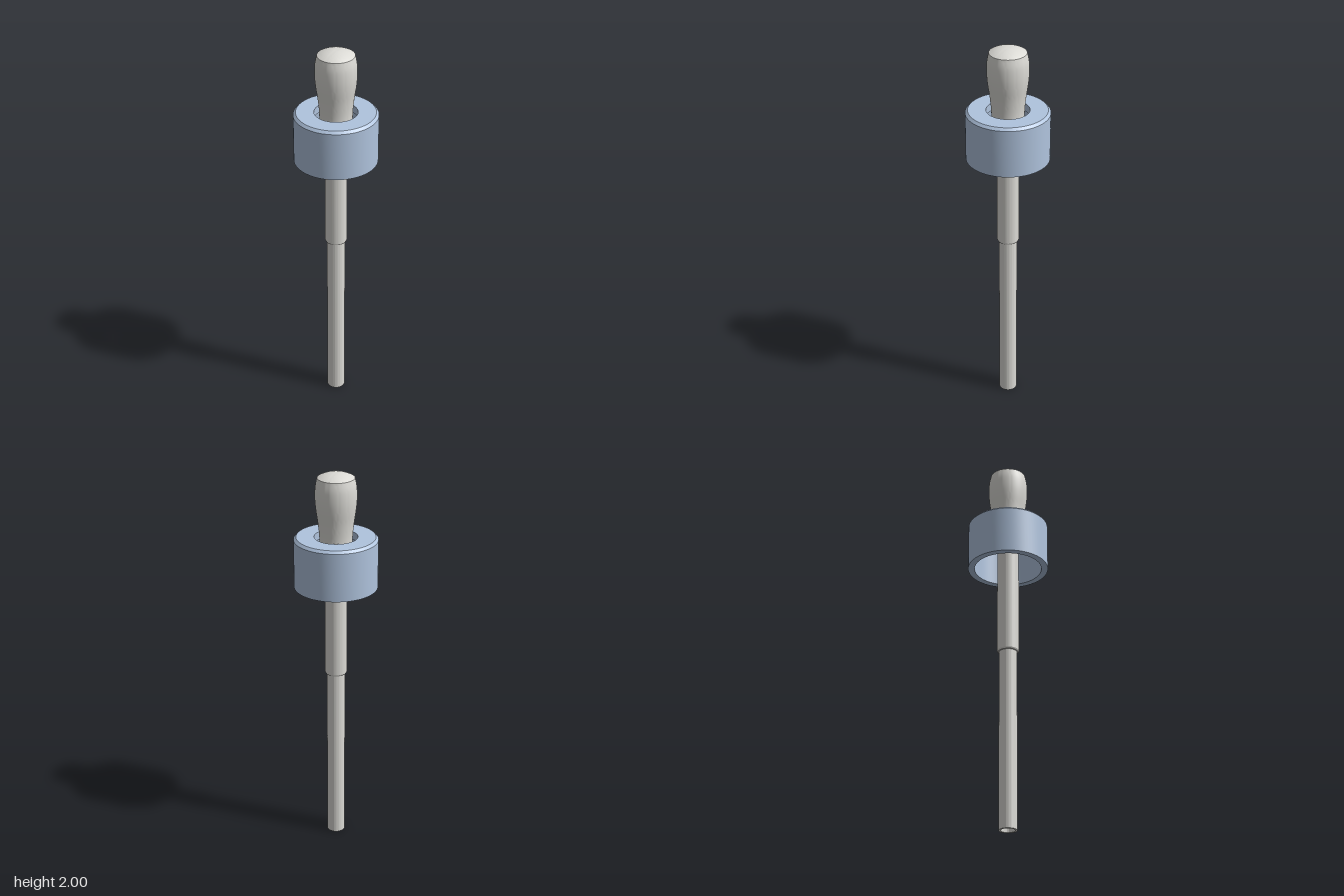
import * as THREE from 'three';
import { toCreasedNormals } from 'three/addons/utils/BufferGeometryUtils.js';

const glassGrey = new THREE.MeshStandardMaterial({ color: 0xdcdbd6 });
const capBlue = new THREE.MeshStandardMaterial({ color: 0xb0c4de });

// Turned part from [radius, height] points, listed up the outside and down the inside
function turned(name, points, material) {
  const profile = points.map(([r, y]) => new THREE.Vector2(r, y));
  const geometry = toCreasedNormals(new THREE.LatheGeometry(profile, 72), 0.4);
  const mesh = new THREE.Mesh(geometry, material);
  mesh.name = name;
  return mesh;
}

// Smooth run of points through a few control points
function smooth(points, steps) {
  const curve = new THREE.SplineCurve(points.map(([r, y]) => new THREE.Vector2(r, y)));
  return curve.getPoints(steps).map((p) => [p.x, p.y]);
}

export function createModel() {
  const group = new THREE.Group();
  group.name = 'dropper';

  // Hollow pipette: thin lower tube, stepped up to a wider shank
  group.add(turned('pipette', [
    [0.035, 0], [0.046, 0], [0.046, 0.937], [0.052, 0.937], [0.056, 0.945],
    [0.056, 1.62], [0.035, 1.62], [0.035, 0],
  ], glassGrey));

  // Squeeze bulb: waisted neck, full shoulder, shallow domed crown
  const side = smooth([
    [0.081, 1.62], [0.082, 1.68], [0.089, 1.75], [0.099, 1.82],
    [0.103, 1.875], [0.101, 1.93], [0.092, 1.975],
  ], 30);
  const rise = 0.025, rim = 0.092;
  const radius = (rim * rim + rise * rise) / (2 * rise);
  const dome = [];
  for (let i = 1; i <= 10; i++) {
    const r = rim * (1 - i / 10);
    dome.push([r, 2 - radius + Math.sqrt(radius * radius - r * r)]);
  }
  group.add(turned('bulb', [[0.035, 1.62], ...side, ...dome], glassGrey));

  // Screw cap: open below, chamfered top edge, round hole for the bulb
  group.add(turned('cap', [
    [0.175, 1.415], [0.209, 1.415], [0.209, 1.662], [0.196, 1.675],
    [0.107, 1.675], [0.107, 1.635], [0.175, 1.635], [0.175, 1.415],
  ], capBlue));

  return group;
}
